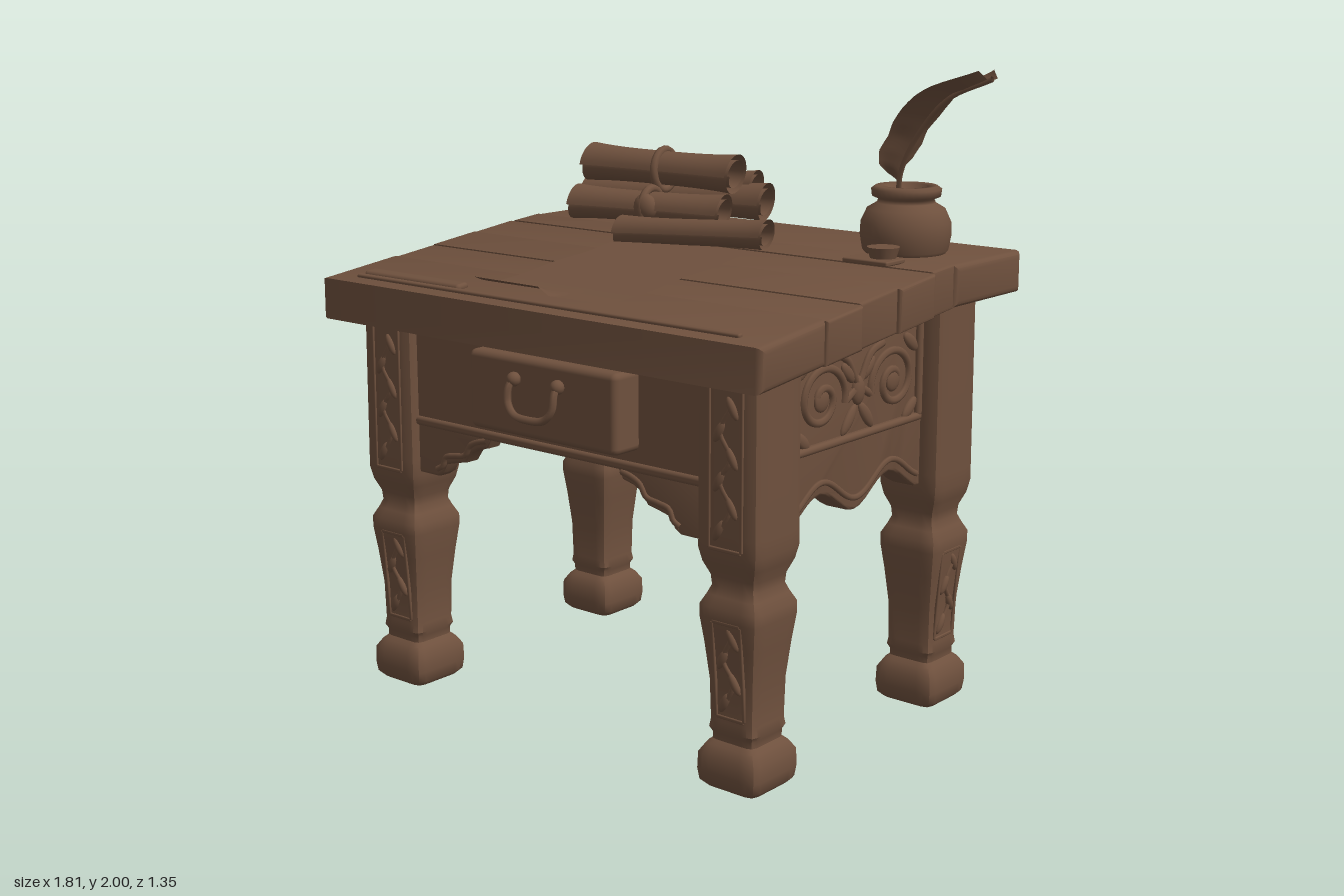
import * as THREE from 'three';
import { toCreasedNormals } from 'three/addons/utils/BufferGeometryUtils.js';
import { RoundedBoxGeometry } from 'three/addons/geometries/RoundedBoxGeometry.js';

const wood = new THREE.MeshStandardMaterial({ color: 0x6e503d, side: THREE.DoubleSide });
wood.name = 'brown wood';
const V = (x, y, z) => new THREE.Vector3(x, y, z);
const CX = -0.04; // middle of the frame in x
const lerp = THREE.MathUtils.lerp;

// Sloped writing surface, level at the back
const topY = z => z < -0.27 ? 1.43 : lerp(1.43, 1.325, (z + 0.27) / 0.92);
const underY = z => z < -0.3 ? 1.3 : lerp(1.3, 1.2, (z + 0.3) / 0.95);

function add(parent, geo, name, x = 0, y = 0, z = 0) {
  const m = new THREE.Mesh(geo, wood);
  m.name = name;
  m.position.set(x, y, z);
  parent.add(m);
  return m;
}
const rbox = (w, h, d, r = 0.012) => new RoundedBoxGeometry(w, h, d, 2, r);
const tube = (pts, r, n = 24, closed = false) =>
  new THREE.TubeGeometry(new THREE.CatmullRomCurve3(pts, closed), n, r, 6, closed);
function extrude(pts, depth, bevel = 0.01) {
  const shape = new THREE.Shape(pts.map(p => new THREE.Vector2(p[0], p[1])));
  const g = new THREE.ExtrudeGeometry(shape, { depth: depth - 2 * bevel, bevelEnabled: true,
    bevelSize: bevel, bevelThickness: bevel, bevelOffset: -bevel, bevelSegments: 3 });
  g.translate(0, 0, bevel - depth / 2);
  return toCreasedNormals(g, 0.6);
}
function leaf(parent, x, y, rx, ry, tilt, rz = 0.012) {
  const m = add(parent, new THREE.SphereGeometry(1, 12, 8), 'carvedLeaf', x, y, 0);
  m.scale.set(rx, ry, rz);
  m.rotation.z = tilt;
}

// Rounded square leg turned from a profile of [half width, height]
function legGeometry(topHeight) {
  const profile = [[0, 0], [0.09, 0], [0.105, 0.015], [0.11, 0.05], [0.108, 0.1], [0.09, 0.128], [0.076, 0.14],
    [0.076, 0.16], [0.084, 0.175], [0.08, 0.2], [0.083, 0.32], [0.095, 0.43], [0.106, 0.51], [0.106, 0.545],
    [0.09, 0.575], [0.079, 0.6], [0.082, 0.63], [0.1, 0.67], [0.109, 0.71], [0.109, 0.76],
    [0.107, topHeight], [0, topHeight]];
  const g = new THREE.LatheGeometry(profile.map(p => new THREE.Vector2(...p)), 40);
  const p = g.attributes.position;
  for (let i = 0; i < p.count; i++) {
    const x = p.getX(i), z = p.getZ(i), r = Math.hypot(x, z);
    if (r < 1e-6) continue;
    const k = 1 / Math.pow(Math.abs(x / r) ** 9 + Math.abs(z / r) ** 9, 1 / 9);
    p.setX(i, x * k);
    p.setZ(i, z * k);
  }
  return toCreasedNormals(g, 0.7);
}

// Carved upright panel: a thin frame filled with leaves on a wavy stem
function legPanel(w, h) {
  const g = new THREE.Group();
  g.name = 'legCarving';
  for (const s of [-1, 1]) {
    add(g, rbox(0.012, h, 0.012, 0.004), 'panelFrame', s * w / 2);
    add(g, rbox(w, 0.012, 0.012, 0.004), 'panelFrame', 0, s * h / 2);
  }
  const n = Math.round(h / 0.075), stem = [];
  for (let i = 0; i < n; i++) {
    const y = ((i + 0.5) / n - 0.5) * h * 0.92, s = i % 2 ? 1 : -1;
    stem.push(V(s * w * 0.16, y, 0));
    leaf(g, s * w * 0.2, y, 0.014, 0.036, s * 0.5);
  }
  add(g, tube(stem, 0.008), 'carvedStem');
  return g;
}

// Carved scrollwork: mirrored spirals joined by crossing stems
function scrollwork(w, h) {
  const g = new THREE.Group();
  g.name = 'scrollCarving';
  const c = w * 0.29, R = Math.min(h * 0.4, w * 0.19);
  for (const s of [-1, 1]) {
    const pts = [];
    for (let i = 0; i <= 26; i++) {
      const a = 0.5 + i / 26 * 9.2, r = R * (0.22 + 0.78 * i / 26);
      pts.push(V(s * (c + r * Math.cos(a) * 1.1), r * Math.sin(a), 0));
    }
    pts.push(V(s * w * 0.1, -R * 0.2, 0), V(0, R * 0.15, 0), V(-s * w * 0.1, R * 0.95, 0), V(-s * w * 0.2, h * 0.46, 0));
    add(g, tube(pts, 0.013, 90), 'spiralStem');
    leaf(g, s * c, 0, 0.035, 0.035, 0);
    leaf(g, s * w * 0.07, -R * 0.75, 0.02, R * 0.5, s * 0.7);
    leaf(g, s * w * 0.44, R * 0.95, 0.02, 0.045, s * 0.9);
    leaf(g, s * w * 0.44, -R * 0.95, 0.02, 0.045, -s * 0.9);
    leaf(g, s * w * 0.08, R * 0.55, 0.02, R * 0.4, -s * 0.8);
  }
  leaf(g, 0, 0, 0.03, 0.045, 0, 0.018);
  return g;
}

// Rolled paper between two points, with slightly flared ends
function rolledPaper(parent, name, a, b, r, turns = 2) {
  const len = a.distanceTo(b), g = new THREE.PlaneGeometry(1, 1, 12, 56), p = g.attributes.position;
  for (let i = 0; i < p.count; i++) {
    const u = p.getX(i), v = p.getY(i) + 0.5, t = v * turns * Math.PI * 2;
    const rad = r * (1 - 0.5 * v) * (0.9 + 0.14 * Math.abs(2 * u) ** 3);
    p.setXYZ(i, u * len + 0.01 * Math.sin(t), rad * Math.sin(t), rad * Math.cos(t));
  }
  g.computeVertexNormals();
  const m = add(parent, g, name);
  m.position.copy(a).lerp(b, 0.5);
  m.quaternion.setFromUnitVectors(V(1, 0, 0), b.clone().sub(a).normalize());
  return m;
}

export function createModel() {
  const desk = new THREE.Group();
  desk.name = 'writingDesk';

  // Tabletop planks, each a bevelled slab with slightly uneven ends
  const seams = [-0.67, -0.295, -0.18, 0, 0.185, 0.355, 0.65];
  const ends = [[-0.9, 0.83], [-0.88, 0.825], [-0.9, 0.835], [-0.895, 0.825], [-0.9, 0.835], [-0.91, 0.835]];
  ends.forEach(([x0, x1], i) => {
    const a = seams[i], b = seams[i + 1], lift = i % 2 ? 0.004 : 0;
    const g = extrude([[-a, underY(a)], [-a, topY(a) + lift], [-b, topY(b) + lift], [-b, underY(b)]],
      x1 - x0, i === 0 || i === 5 ? 0.022 : 0.01);
    g.rotateY(Math.PI / 2);
    add(desk, g, 'tabletopPlank', (x0 + x1) / 2);
  });
  add(desk, rbox(1.5, 0.1, 1.1), 'tabletopCore', CX, 1.305, 0).rotation.x = 0.09;
  // Pen ledge near the front edge
  add(desk, rbox(0.42, 0.025, 0.05), 'penLedge', -0.58, topY(0.56) + 0.008, 0.555).rotation.x = 0.11;
  add(desk, rbox(1.52, 0.016, 0.02, 0.006), 'penLedge', -0.04, topY(0.59) + 0.006, 0.59).rotation.x = 0.11;

  // Legs with carved panels
  for (const sx of [-1, 1]) for (const sz of [-1, 1]) {
    const leg = new THREE.Group();
    leg.name = sz > 0 ? 'frontLeg' : 'backLeg';
    leg.position.set(CX + sx * 0.683, 0, sz * 0.45);
    add(leg, legGeometry(sz > 0 ? 1.24 : 1.32), 'legPost');
    const faces = sz > 0 ? [0] : [Math.PI, sx * Math.PI / 2];
    faces.forEach((turn, i) => {
      const face = new THREE.Group();
      face.name = 'legFace';
      face.rotation.y = turn;
      const lower = legPanel(0.1, 0.29);
      lower.position.set(0, 0.36, 0.089);
      lower.rotation.x = 0.08;
      face.add(lower);
      if (i === 0) {
        const upper = legPanel(0.115, 0.46);
        upper.position.set(0, 0.95, 0.107);
        face.add(upper);
      }
      leg.add(face);
    });
    desk.add(leg);
  }

  // Front and back aprons with scalloped corner brackets
  const bracket = [[0, 0.9], [0, 0.72], [0.09, 0.72], [0.115, 0.735], [0.13, 0.765], [0.17, 0.775], [0.215, 0.785],
    [0.24, 0.82], [0.27, 0.835], [0.31, 0.845], [0.34, 0.9]];
  for (const sz of [-1, 1]) {
    const h = sz > 0 ? 0.35 : 0.42;
    add(desk, rbox(1.2, h, 0.06), 'endApron', CX, 0.875 + h / 2, sz * 0.495);
    add(desk, rbox(1.18, 0.03, 0.04), 'apronRail', CX, 0.89, sz * 0.515);
    for (const sx of [-1, 1]) {
      const pts = bracket.map(([x, y]) => [sx * (0.585 - x), y]);
      add(desk, extrude(pts, 0.06), 'cornerBracket', CX, 0, sz * 0.495);
      const rim = bracket.slice(2, 10).map(([x, y]) => V(sx * (0.585 - x), y + 0.025, 0));
      add(desk, tube(rim, 0.01), 'bracketMoulding', CX, 0, sz * 0.525);
    }
  }
  const backCarving = scrollwork(1.08, 0.3);
  backCarving.position.set(CX, 1.09, -0.527);
  backCarving.rotation.y = Math.PI;
  desk.add(backCarving);
  add(desk, rbox(1.16, 0.025, 0.03), 'backFrame', CX, 0.935, -0.52);
  add(desk, rbox(1.16, 0.025, 0.03), 'backFrame', CX, 1.265, -0.52);

  // Side aprons: wavy lower edge, sloped upper edge, carved field
  const wave = [];
  for (let i = 0; i <= 24; i++) {
    const z = -0.35 + 0.7 * i / 24;
    wave.push([z, 0.762 - 0.04 * Math.cos(z / 0.35 * Math.PI * 2)]);
  }
  for (const sx of [-1, 1]) {
    const x = CX + sx * 0.683;
    const pts = [...wave.map(([z, y]) => [-z, y]), [-0.35, 1.25], [0.35, 1.3]];
    const g = extrude(pts, 0.09);
    g.rotateY(Math.PI / 2);
    add(desk, g, 'sideApron', x);
    const face = x + sx * 0.047;
    add(desk, tube(wave.slice(1, 24).map(([z, y]) => V(0, y + 0.04, z)), 0.01, 48), 'waveMoulding', face);
    add(desk, rbox(0.03, 0.025, 0.66), 'sideFrame', face, 0.95);
    add(desk, rbox(0.03, 0.025, 0.66), 'sideFrame', face, 1.245).rotation.x = 0.08;
    for (const s of [-1, 1]) add(desk, rbox(0.03, 0.3, 0.025), 'sideFrame', face, 1.1, s * 0.318);
    const carving = scrollwork(0.62, 0.27);
    carving.position.set(face, 1.085, 0);
    carving.rotation.y = sx * Math.PI / 2;
    desk.add(carving);
  }
  add(desk, new THREE.BoxGeometry(1.3, 0.03, 0.98), 'caseFloor', CX, 0.905);

  // Drawer and bail handle
  add(desk, rbox(0.585, 0.24, 0.12, 0.02), 'drawerFront', 0.008, 1.06, 0.565);
  add(desk, tube([V(-0.085, 1.115, 0.62), V(-0.09, 1.1, 0.65), V(-0.088, 1.05, 0.66), V(-0.06, 1.018, 0.665),
    V(0, 1.01, 0.667), V(0.06, 1.018, 0.665), V(0.088, 1.05, 0.66), V(0.09, 1.1, 0.65), V(0.085, 1.115, 0.62)],
    0.012, 40), 'drawerHandle');
  for (const s of [-1, 1])
    add(desk, new THREE.SphereGeometry(0.022, 12, 8), 'handleKnob', s * 0.087, 1.115, 0.635);

  // Sheet of paper lying on the slope, curled at the front, rolled at the back
  const sheet = new THREE.PlaneGeometry(0.51, 0.69, 12, 24).rotateX(-Math.PI / 2);
  const sp = sheet.attributes.position;
  for (let i = 0; i < sp.count; i++) {
    const x = sp.getX(i) - 0.055, z = sp.getZ(i) + 0.215 - 0.02 * (x + 0.055);
    const curl = Math.max(0, (z - 0.44) / 0.12) ** 2 * (x < -0.05 ? 0.035 : 0.012);
    sp.setXYZ(i, x + 0.006 * Math.sin(z * 22), topY(z) + 0.012 + curl, z);
  }
  sheet.computeVertexNormals();
  add(desk, sheet, 'paperSheet');
  rolledPaper(desk, 'paperRoll', V(-0.31, 1.45, -0.09), V(0.225, 1.475, -0.165), 0.053);

  // Pile of tied scrolls
  rolledPaper(desk, 'backScroll', V(-0.75, 1.505, -0.43), V(-0.08, 1.51, -0.56), 0.07);
  rolledPaper(desk, 'topScroll', V(-0.68, 1.62, -0.365), V(-0.115, 1.61, -0.44), 0.072);
  rolledPaper(desk, 'backUpperScroll', V(-0.745, 1.53, -0.48), V(-0.14, 1.56, -0.585), 0.055);
  rolledPaper(desk, 'frontScroll', V(-0.64, 1.5, -0.24), V(-0.1, 1.495, -0.36), 0.065);
  const tie = (x, y, z, r) => {
    const m = add(desk, new THREE.TorusGeometry(r, 0.014, 8, 24), 'scrollTie', x, y, z);
    m.rotation.y = Math.PI / 2 + 0.15;
  };
  tie(-0.39, 1.613, -0.405, 0.067);
  tie(-0.36, 1.5, -0.302, 0.062);
  add(desk, new THREE.SphereGeometry(0.045, 16, 10), 'waxSeal', -0.35, 1.505, -0.26).scale.z = 0.7;

  // Ink pot
  const pot = [[0, 0], [0.12, 0], [0.132, 0.015], [0.14, 0.06], [0.138, 0.1], [0.12, 0.14], [0.09, 0.158], [0.085, 0.17],
    [0.105, 0.178], [0.108, 0.2], [0.095, 0.21], [0.065, 0.208], [0.055, 0.16], [0, 0.15]];
  add(desk, new THREE.LatheGeometry(pot.map(p => new THREE.Vector2(...p)), 32), 'inkPot', 0.565, 1.425, -0.42);
  add(desk, new THREE.CylinderGeometry(0.05, 0.036, 0.045, 16), 'inkStopper', 0.62, 1.452, -0.22);
  add(desk, rbox(0.16, 0.015, 0.1, 0.005), 'blotter', 0.6, 1.434, -0.2);

  // Quill: curved shaft with two feather vanes parted at the tip
  const shaft = new THREE.CatmullRomCurve3([V(0.56, 1.57, -0.385), V(0.585, 1.68, -0.355), V(0.65, 1.8, -0.345),
    V(0.75, 1.91, -0.345), V(0.9, 1.975, -0.345)]);
  add(desk, new THREE.TubeGeometry(shaft, 24, 0.009, 6), 'quillShaft');
  const widths = [0.02, 0.09, 0.115, 0.105, 0.125, 0.13, 0.125, 0.11, 0.08, 0.045];
  for (const s of [-1, 1]) {
    const g = new THREE.PlaneGeometry(1, 1, 6, 36), p = g.attributes.position;
    for (let i = 0; i < p.count; i++) {
      const u = p.getX(i) + 0.5, v = p.getY(i) + 0.5, c = shaft.getPoint(0.18 + 0.82 * v);
      const k = Math.min(v * 9, 8.999), j = Math.floor(k);
      const outer = lerp(widths[j], widths[j + 1], k - j);
      const inner = Math.max(0, v - 0.75) * 0.12;
      const fold = 0.03 * Math.sin(u * Math.PI * 0.5);
      p.setXYZ(i, c.x - fold * 0.7, c.y + fold * 0.8, c.z + s * lerp(inner, outer, u));
    }
    g.computeVertexNormals();
    add(desk, g, 'featherVane');
  }
  return desk;
}
